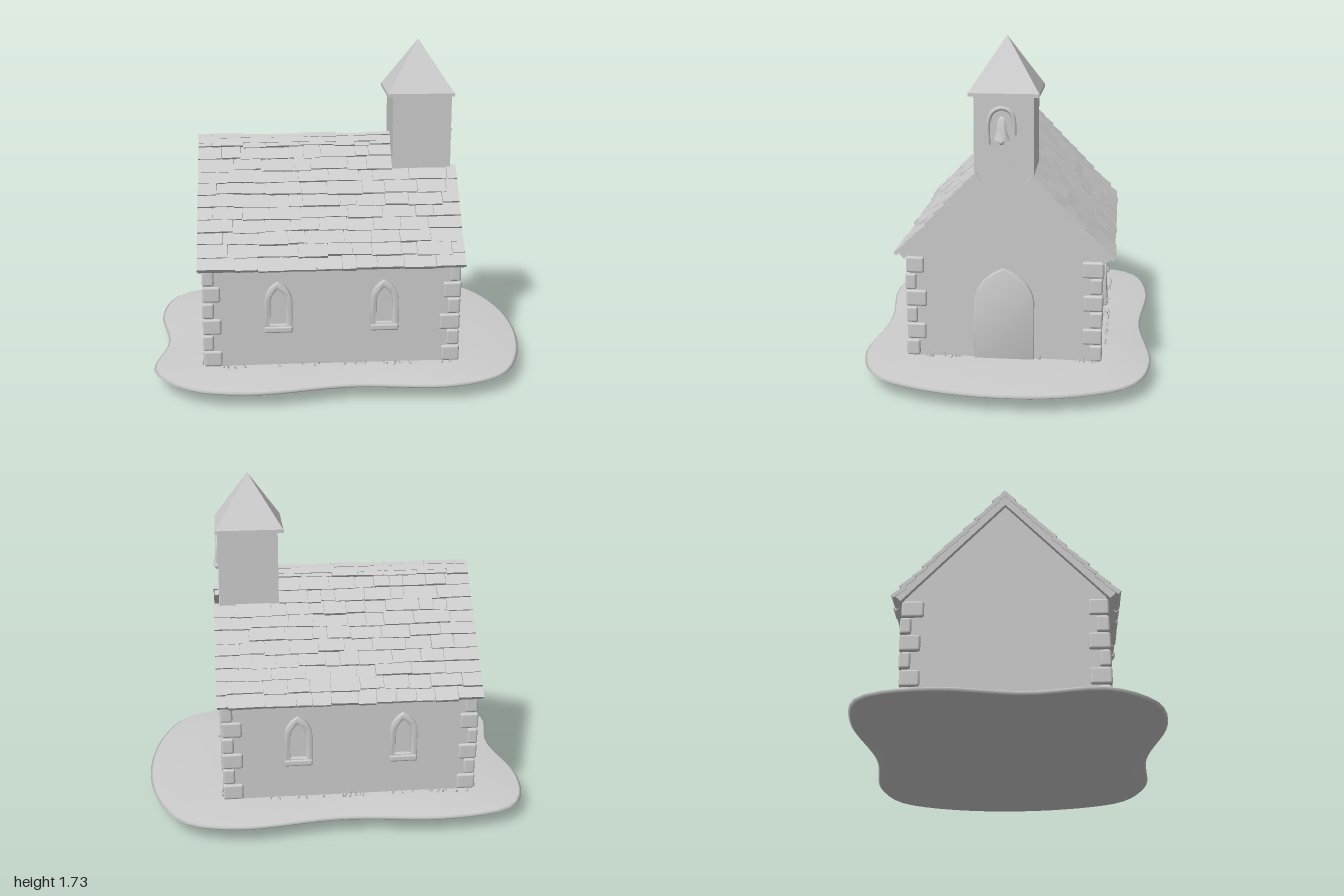
import * as THREE from 'three';
import { mergeGeometries, toCreasedNormals } from 'three/addons/utils/BufferGeometryUtils.js';
import { RoundedBoxGeometry } from 'three/addons/geometries/RoundedBoxGeometry.js';

const stone = new THREE.MeshStandardMaterial({ color: 0xcccccc });
stone.name = 'pale grey stone';

const ZC = -0.015;                       // centre line of the building
const WALL = { x0: -0.71, x1: 0.59, half: 0.482, eave: 0.65 };
const ROOF = { x0: -0.74, x1: 0.62, half: 0.545, ridge: 1.235, eave: 0.665, notchX: 0.28, notch: 0.215 };

let seed = 7;
const rand = (a = 0, b = 1) => {
  seed = (seed * 16807) % 2147483647;
  return a + (b - a) * (seed / 2147483647);
};

function add(parent, name, geometry, x = 0, y = 0, z = 0) {
  const mesh = new THREE.Mesh(geometry, stone);
  mesh.name = name;
  mesh.position.set(x, y, z);
  parent.add(mesh);
  return mesh;
}

// Box given by its limits
function span(x0, x1, y0, y1, z0, z1) {
  return new THREE.BoxGeometry(x1 - x0, y1 - y0, z1 - z0)
    .translate((x0 + x1) / 2, (y0 + y1) / 2, (z0 + z1) / 2);
}

// Pointed arch outline: half width, bottom, spring line, tip
function arch(w, y0, ys, y1, Type = THREE.Shape) {
  const s = new Type();
  const ym = ys + (y1 - ys) * 0.7;
  s.moveTo(-w, y0);
  s.lineTo(w, y0);
  s.lineTo(w, ys);
  s.quadraticCurveTo(w * 0.9, ym, 0, y1);
  s.quadraticCurveTo(-w * 0.9, ym, -w, ys);
  s.lineTo(-w, y0);
  return s;
}

function archFrame(outer, inner, depth) {
  const s = arch(...outer);
  s.holes.push(arch(...inner, THREE.Path));
  const g = new THREE.ExtrudeGeometry(s, {
    depth, curveSegments: 10, bevelEnabled: true, bevelSize: 0.006, bevelThickness: 0.008, bevelOffset: -0.006, bevelSegments: 2,
  });
  return toCreasedNormals(g, 0.7);
}

// Wavy island, domed on top and shallow below
function islandGeometry() {
  const outline = [
    [-0.88, -0.68], [-0.56, -0.75], [0, -0.705], [0.53, -0.755], [0.8, -0.67], [0.95, -0.4], [1, 0],
    [0.93, 0.4], [0.81, 0.61], [0.54, 0.715], [0.03, 0.685], [-0.49, 0.745], [-0.8, 0.67], [-0.98, 0.45],
    [-0.935, 0.08], [-1, -0.3], [-0.965, -0.56],
  ].map(([x, z]) => new THREE.Vector3(x, 0, z));
  const n = 80;
  const pts = new THREE.CatmullRomCurve3(outline, true).getSpacedPoints(n).slice(0, n);
  const rings = [[0, 0.12], [0.55, 0.12], [0.78, 0.113], [0.9, 0.096], [0.985, 0.094], [1, 0.085],
    [0.985, 0.074], [0.8, 0.04], [0.5, 0.013], [0.2, 0.001], [0, 0]];
  const pos = [], index = [];
  rings.forEach(([s, y], k) => pts.forEach((p, i) => {
    pos.push(p.x * s, y, p.z * s);
    if (k === rings.length - 1) return;
    const j = (i + 1) % n, a = k * n + i, b = k * n + j;
    index.push(a, b + n, a + n, a, b, b + n);
  }));
  const g = new THREE.BufferGeometry();
  g.setAttribute('position', new THREE.Float32BufferAttribute(pos, 3));
  g.setIndex(index);
  g.computeVertexNormals();
  return g;
}

// One roof slope: local +z runs down from the ridge
function roofSlope(side) {
  const slope = new THREE.Group();
  slope.name = side > 0 ? 'frontRoofSlope' : 'backRoofSlope';
  const rise = ROOF.ridge - ROOF.eave;
  const len = Math.hypot(rise, ROOF.half);
  slope.position.set(0, ROOF.ridge, ZC);
  slope.rotation.set(Math.atan2(rise, ROOF.half), side > 0 ? 0 : Math.PI, 0, 'YXZ');
  const sx = (a, b) => (side > 0 ? [a, b] : [-b, -a]);

  add(slope, 'roofDeck', span(...sx(ROOF.x0 + 0.005, ROOF.notchX), -0.055, -0.018, 0, len - 0.01));
  add(slope, 'roofDeckByTower', span(...sx(ROOF.notchX, ROOF.x1 - 0.005), -0.055, -0.018, ROOF.notch, len - 0.01));

  // Uneven overlapping slates
  const rows = 11, step = len / rows, slates = [];
  for (let r = 0; r < rows; r++) {
    const end = r < 3 ? ROOF.notchX : ROOF.x1;
    let x = ROOF.x0;
    while (x < end - 0.001) {
      let w = rand(0.07, 0.2);
      if (x + w > end - 0.05) w = end - x;
      const [a, b] = sx(x, x + w);
      const g = new THREE.BoxGeometry(w - 0.003, rand(0.014, 0.022), step * rand(1.05, 1.25));
      g.rotateX(-rand(0.06, 0.16)).rotateY(rand(-0.015, 0.015));
      g.translate((a + b) / 2, -0.012 + rand(-0.003, 0.004), (r + 0.5) * step + rand(-0.004, 0.008));
      slates.push(g);
      x += w;
    }
  }
  add(slope, 'roofSlates', mergeGeometries(slates));
  return slope;
}

// Rough corner stones, alternately long and short
function quoins(parent, sx, sz) {
  const stack = new THREE.Group();
  stack.name = 'cornerStones';
  const h = 0.088, out = 0.014;
  for (let i = 0; i < 6; i++) {
    const big = i % 2 === 0;
    const wx = (big ? 0.1 : 0.06) + rand(-0.008, 0.008);
    const wz = (big ? 0.06 : 0.1) + rand(-0.008, 0.008);
    const o = out + rand(-0.004, 0.003);
    const cx = (sx > 0 ? WALL.x1 : WALL.x0) + sx * (o - wx / 2);
    const cz = ZC + sz * (WALL.half + o - wz / 2);
    add(stack, 'cornerStone', new RoundedBoxGeometry(wx, h - 0.004, wz, 2, 0.012), cx, 0.115 + (i + 0.5) * h, cz);
  }
  parent.add(stack);
}

export function createModel() {
  const model = new THREE.Group();
  model.name = 'chapel';
  add(model, 'ground', islandGeometry());

  // Walls with gables at both ends
  const gable = new THREE.Shape([
    [-WALL.half, 0.09], [WALL.half, 0.09], [WALL.half, WALL.eave], [0, 1.165], [-WALL.half, WALL.eave],
  ].map(([x, y]) => new THREE.Vector2(x, y)));
  const walls = new THREE.ExtrudeGeometry(gable, { depth: WALL.x1 - WALL.x0, bevelEnabled: false });
  add(model, 'walls', walls.rotateY(Math.PI / 2), WALL.x0, 0, ZC);
  model.add(roofSlope(1), roofSlope(-1));
  for (const sx of [-1, 1]) for (const sz of [-1, 1]) quoins(model, sx, sz);

  // Pointed windows on both long sides
  for (const side of [1, -1]) for (const x of [-0.335, 0.21]) {
    const win = new THREE.Group();
    win.name = 'window';
    add(win, 'windowFrame', archFrame([0.072, 0.3, 0.47, 0.575], [0.04, 0.345, 0.46, 0.535], 0.016));
    add(win, 'windowSill', new RoundedBoxGeometry(0.145, 0.035, 0.045, 2, 0.01), 0, 0.32, 0.008);
    win.position.set(x, 0, ZC + side * WALL.half);
    win.rotation.y = side > 0 ? 0 : Math.PI;
    model.add(win);
  }

  // Arched doorway in the tower end
  const door = add(model, 'doorFrame',
    archFrame([0.152, 0.1, 0.42, 0.595], [0.125, 0.09 + 0.02, 0.41, 0.565], 0.01), WALL.x1, 0, ZC);
  door.rotation.y = Math.PI / 2;

  // Bell tower
  const tower = new THREE.Group();
  tower.name = 'bellTower';
  add(tower, 'towerShaft', span(0.28, 0.588, 0.85, 1.465, ZC - 0.147, ZC + 0.147));
  add(tower, 'capEdge', span(0.25, 0.6, 1.455, 1.472, ZC - 0.173, ZC + 0.173));
  const cap = new THREE.ConeGeometry(0.173 * Math.SQRT2, 0.263, 4, 1).toNonIndexed();
  cap.computeVertexNormals();
  add(tower, 'towerCap', cap.rotateY(Math.PI / 4), 0.425, 1.6025, ZC);

  // Bell under a rounded hood
  const hood = new THREE.CatmullRomCurve3([
    [0.066, 1.22], [0.066, 1.33], [0.045, 1.38], [0, 1.4], [-0.045, 1.38], [-0.06, 1.33], [-0.06, 1.27],
  ].map(([z, y]) => new THREE.Vector3(0.588, y, z + ZC + 0.01)));
  add(tower, 'bellHood', new THREE.TubeGeometry(hood, 30, 0.011, 8));
  const bell = [[0, 1.365], [0.016, 1.36], [0.026, 1.34], [0.03, 1.29], [0.04, 1.255], [0.043, 1.243], [0.03, 1.243], [0, 1.25]]
    .reverse().map(([r, y]) => new THREE.Vector2(r, y));
  add(tower, 'bell', toCreasedNormals(new THREE.LatheGeometry(bell, 20), 0.9), 0.572, 0, ZC + 0.01);
  add(tower, 'bellClapper', new THREE.SphereGeometry(0.014, 10, 8), 0.594, 1.235, ZC + 0.01);
  model.add(tower);

  // Small grass tufts along the foot of the walls
  const tufts = [];
  const tuft = (x, z) => tufts.push(new THREE.ConeGeometry(0.009, rand(0.02, 0.045), 4)
    .rotateZ(rand(-0.6, 0.6)).rotateX(rand(-0.6, 0.6)).translate(x, 0.122, z));
  for (let i = 0; i < 44; i++) {
    const x = rand(WALL.x0, WALL.x1), z = rand(-WALL.half, WALL.half);
    tuft(x, ZC + (i % 2 ? 1 : -1) * (WALL.half + rand(0.005, 0.04)));
    if (Math.abs(z) > 0.17) tuft(i % 2 ? WALL.x1 + rand(0.005, 0.03) : WALL.x0 - rand(0.005, 0.03), ZC + z);
  }
  add(model, 'grassTufts', mergeGeometries(tufts));
  return model;
}
